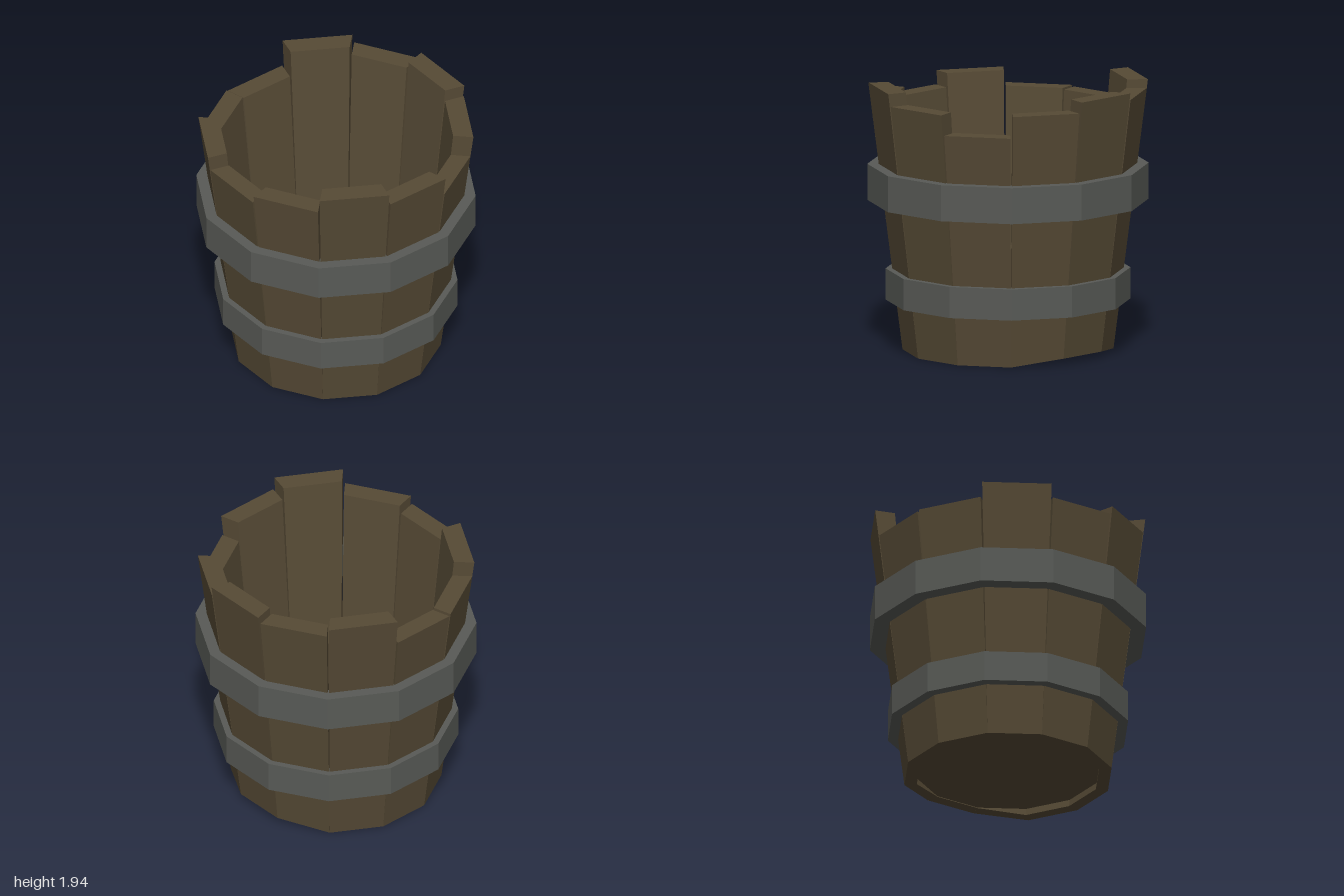
import * as THREE from 'three';

const SIDES = 12;
const STEP = (Math.PI * 2) / SIDES;

const outerRadius = (y) => 0.75 + 0.127 * y;
const innerRadius = (y) => 0.66 + 0.097 * y;

// Uneven stave heights, going round from the front towards +x
const STAVE_TOPS = [1.93, 1.84, 1.69, 1.85, 1.93, 1.88, 1.94, 1.74, 1.75, 1.86, 1.76, 1.82];

// Chipped lower rim: height of the bottom edge at two of the joints
const RIM_CHIPS = { 4: 0.045, 5: 0.045 };

// A box bent to a tapered plank between two joints
function staveGeometry(index, top) {
  const geometry = new THREE.BoxGeometry(1, 1, 1);
  const p = geometry.attributes.position;
  const mid = (index + 0.5) * STEP;
  for (let i = 0; i < p.count; i++) {
    const side = Math.sign(p.getX(i));
    const joint = (index + (side > 0 ? 1 : 0)) % SIDES;
    const y = p.getY(i) > 0 ? top : RIM_CHIPS[joint] || 0;
    const r = p.getZ(i) > 0 ? outerRadius(y) : innerRadius(y);
    const angle = joint * STEP;
    const gap = side * 0.004 * y; // joints open towards the top
    p.setXYZ(
      i,
      r * Math.sin(angle) - gap * Math.cos(mid),
      y,
      r * Math.cos(angle) + gap * Math.sin(mid)
    );
  }
  geometry.computeVertexNormals();
  return geometry;
}

// Twelve-sided solid from a profile of [radius, height] points
function facetedLathe(points) {
  const profile = points.map(([r, y]) => new THREE.Vector2(r, y));
  const geometry = new THREE.LatheGeometry(profile, SIDES).toNonIndexed();
  geometry.computeVertexNormals();
  return geometry;
}

function hoopGeometry(inner, outer, y0, y1) {
  return facetedLathe([[inner, y0], [outer, y0], [outer, y1], [inner, y1], [inner, y0]]);
}

export function createModel() {
  const wood = new THREE.MeshStandardMaterial({ color: 0x564a35 });
  wood.name = 'dark wood';
  const iron = new THREE.MeshStandardMaterial({ color: 0x585a56 });
  iron.name = 'grey iron';

  const bucket = new THREE.Group();
  bucket.name = 'bucket';
  const add = (name, geometry, material, parent = bucket) => {
    const mesh = new THREE.Mesh(geometry, material);
    mesh.name = name;
    parent.add(mesh);
  };

  // Staves
  const staves = new THREE.Group();
  staves.name = 'staves';
  bucket.add(staves);
  STAVE_TOPS.forEach((top, i) => add(`stave${i + 1}`, staveGeometry(i, top), wood, staves));

  // Floor, recessed a little above the lower rim
  const y0 = 0.05, y1 = 0.62;
  add('floor', facetedLathe([
    [0, y0], [innerRadius(y0) + 0.005, y0], [innerRadius(y1) + 0.005, y1], [0, y1],
  ]), wood);

  // Hoops
  add('upperHoop', hoopGeometry(0.88, 1.0, 1.08, 1.34), iron);
  add('lowerHoop', hoopGeometry(0.77, 0.87, 0.36, 0.585), iron);

  return bucket;
}
